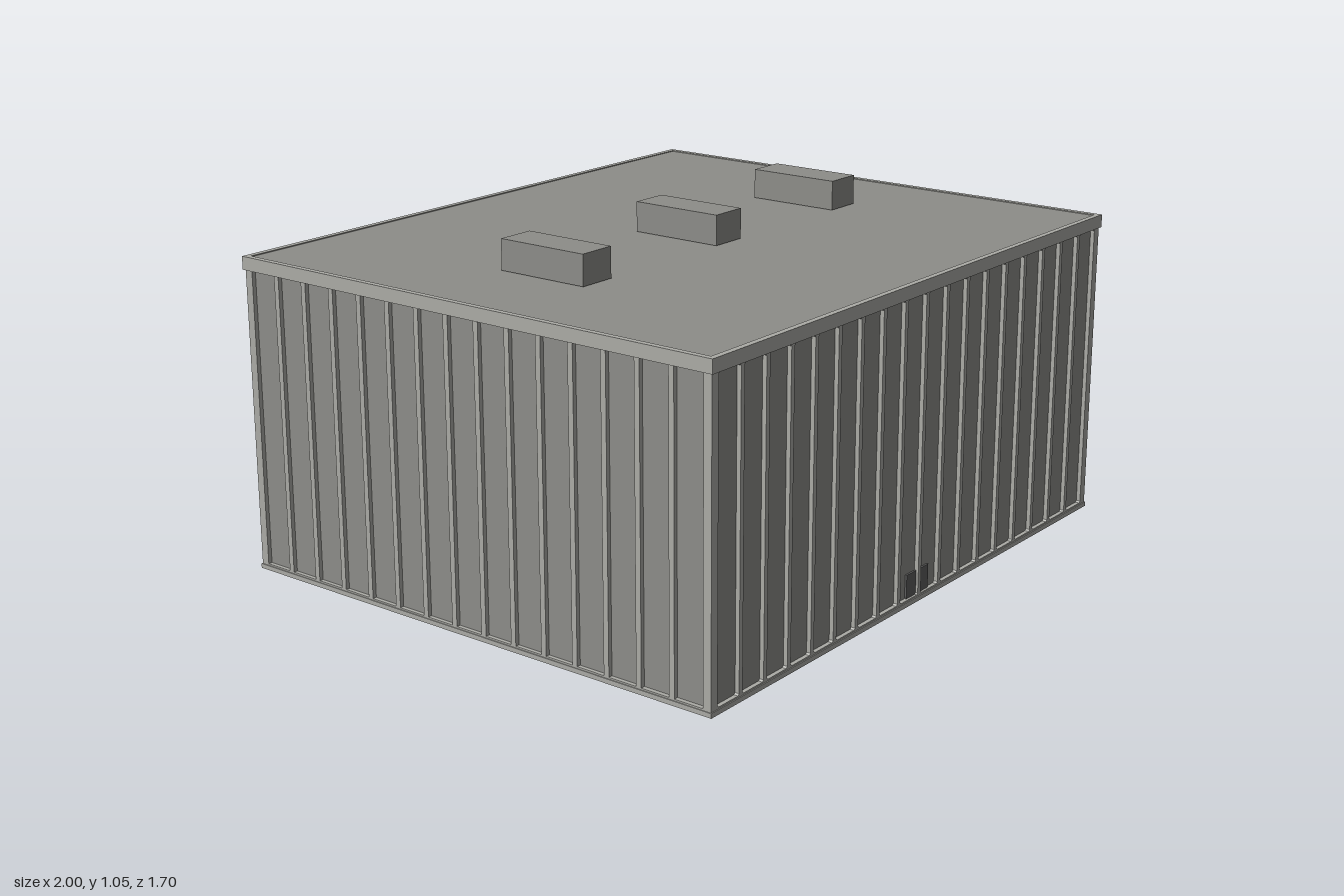
import * as THREE from 'three';

const cladding = new THREE.MeshStandardMaterial({ color: 0x8d8d89, side: THREE.DoubleSide });
const trim = new THREE.MeshStandardMaterial({ color: 0xababa6 });
const dark = new THREE.MeshStandardMaterial({ color: 0x5e5e5e });

const HX = 1, HZ = 0.85;        // outer half sizes
const RECESS = 0.013;           // depth of the wall bays
const ROOF = 0.959, RIM = 0.962;

function add(parent, name, geometry, material, x = 0, y = 0, z = 0) {
  const mesh = new THREE.Mesh(geometry, material);
  mesh.name = name;
  mesh.position.set(x, y, z);
  parent.add(mesh);
  return mesh;
}

// Rectangle with small chamfered corners, as a closed outline
function outline(Type, x0, x1, y0, y1, c) {
  const p = new Type();
  p.moveTo(x0 + c, y0);
  p.lineTo(x1 - c, y0);
  p.lineTo(x1, y0 + c);
  p.lineTo(x1, y1 - c);
  p.lineTo(x1 - c, y1);
  p.lineTo(x0 + c, y1);
  p.lineTo(x0, y1 - c);
  p.lineTo(x0, y0 + c);
  p.closePath();
  return p;
}

// Grid of ribs standing in front of the recessed wall
function ribbedWall(half, bays, pitch, chamfer) {
  const shape = outline(THREE.Shape, -half, half, 0.005, 0.935, 0);
  for (let i = 0; i < bays; i++) {
    const x = (i - (bays - 1) / 2) * pitch;
    shape.holes.push(outline(THREE.Path, x - 0.0465, x + 0.0465, 0.019, 0.92, chamfer));
  }
  return new THREE.ExtrudeGeometry(shape, { depth: RECESS, bevelEnabled: false });
}

// Horizontal rectangular ring of the given height, lying in the xz plane
function ring(hx, hz, width, height) {
  const shape = outline(THREE.Shape, -hx, hx, -hz, hz, 0);
  shape.holes.push(outline(THREE.Path, -hx + width, hx - width, -hz + width, hz - width, 0));
  return new THREE.ExtrudeGeometry(shape, { depth: height, bevelEnabled: false }).rotateX(-Math.PI / 2);
}

export function createModel() {
  const model = new THREE.Group();
  model.name = 'warehouse';

  // Hollow shell, open underneath
  const sx = HX - 0.006 - RECESS, sz = HZ - 0.006 - RECESS;
  for (const s of [-1, 1]) {
    const long = add(model, 'longWall', new THREE.PlaneGeometry(2 * sx, ROOF), cladding, 0, ROOF / 2, s * sz);
    const short = add(model, 'shortWall', new THREE.PlaneGeometry(2 * sz, ROOF), cladding, s * sx, ROOF / 2, 0);
    if (s < 0) long.rotation.y = Math.PI;
    short.rotation.y = s * Math.PI / 2;
  }
  const roof = add(model, 'roof', new THREE.PlaneGeometry(2 * HX - 0.02, 2 * HZ - 0.02), cladding, 0, ROOF, 0);
  roof.rotation.x = -Math.PI / 2;

  // Ribs on all four sides
  const longRibs = ribbedWall(HX - 0.006, 18, 0.1082, 0.005);
  const shortRibs = ribbedWall(HZ - 0.006, 15, 0.1102, 0);
  for (const s of [-1, 1]) {
    const long = add(model, 'longWallRibs', longRibs, trim, 0, 0, s * sz);
    if (s < 0) long.rotation.y = Math.PI;
    const short = add(model, 'shortWallRibs', shortRibs, trim, s * sx, 0, 0);
    short.rotation.y = s * Math.PI / 2;
  }

  // Plinth and roof edge
  add(model, 'plinth', ring(HX - 0.003, HZ - 0.003, 0.014, 0.014), trim);
  add(model, 'roofFascia', ring(HX, HZ, 0.018, RIM - 0.922), trim, 0, 0.922, 0);

  // Roof vents
  for (const x of [-0.602, 0, 0.6]) {
    add(model, 'roofVent', new THREE.BoxGeometry(0.12, 0.092, 0.3), cladding, x, 1.007, 0);
  }

  // Entrance slab passing behind the middle rib
  add(model, 'entranceDoor', new THREE.BoxGeometry(0.115, 0.09, 0.012), dark, 0, 0.047, sz);

  return model;
}
